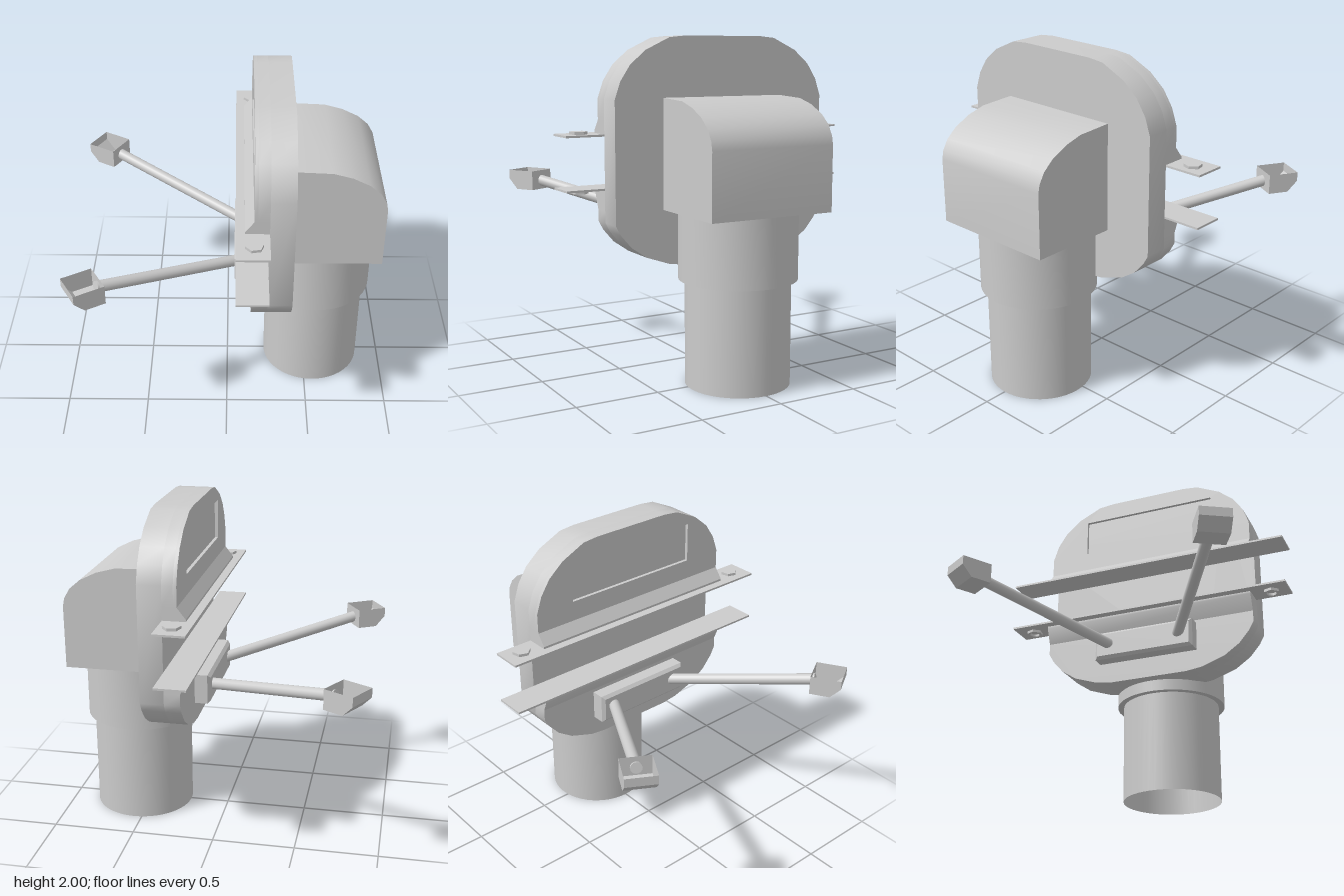
import * as THREE from 'three';
import { toCreasedNormals } from 'three/addons/utils/BufferGeometryUtils.js';

const material = new THREE.MeshStandardMaterial({ color: 0xcccccc });
const openMaterial = new THREE.MeshStandardMaterial({ color: 0xcccccc, side: THREE.DoubleSide });

const shapeOf = (pts) => new THREE.Shape(pts.map(([a, b]) => new THREE.Vector2(a, b)));
const extrude = (shape, depth) =>
  new THREE.ExtrudeGeometry(shape, { depth, bevelEnabled: false });

export function createModel() {
  const model = new THREE.Group();
  const add = (name, geometry, mat = material, parent = model) => {
    const mesh = new THREE.Mesh(geometry, mat);
    mesh.name = name;
    parent.add(mesh);
    return mesh;
  };

  // slab with a z-y outline, reaching from x0 to x1
  const slab = (name, shape, x0, x1) =>
    add(name, toCreasedNormals(extrude(shape, x1 - x0).rotateY(Math.PI / 2).translate(x0, 0, 0), 0.6));
  // prism with an x-y outline, centred on z = 0
  const prism = (name, pts, halfWidth) =>
    add(name, toCreasedNormals(extrude(shapeOf(pts), halfWidth * 2).translate(0, 0, -halfWidth), 0.6));

  // half outlines of the rounded housing, mirrored across z
  const mirrored = (half) => shapeOf([...half, ...half.map(([z, y]) => [-z, y]).reverse()]);
  const crown = [[0.69, 1.65], [0.655, 1.75], [0.595, 1.84], [0.5, 1.92], [0.35, 1.99], [0.25, 2]];
  const base = [[0.25, 0.69], [0.35, 0.703], [0.5, 0.755], [0.595, 0.82], [0.66, 0.895], [0.69, 0.95]];

  // housing: full rear layer, upper and lower front layers, channel left between
  slab('housing', mirrored([...base, ...crown]), 0.235, 0.375);
  slab('lowerHousing', mirrored([...base, [0.69, 1.02]]), 0.14, 0.235);
  const upper = [[0.69, 1.53], ...crown];
  slab('upperHousing', mirrored(upper), 0.17, 0.235);
  const windowed = mirrored(upper);
  windowed.holes.push(shapeOf([[-0.44, 1.65], [-0.44, 1.89], [0.44, 1.89], [0.44, 1.65]]));
  slab('windowFrame', windowed, 0.15, 0.17);

  // sloped lips beside the channel
  prism('upperLip', [[0.1, 1.45], [0.235, 1.45], [0.235, 1.53], [0.15, 1.53], [0.1, 1.465]], 0.69);
  prism('lowerLip', [[0.14, 1.02], [0.235, 1.02], [0.235, 1.135], [0.1, 1.135], [0.1, 1.12]], 0.69);

  // mounting strips with bolts above and nuts below
  const hexagon = () => shapeOf(Array.from({ length: 6 }, (_, i) =>
    [0.052 * Math.cos(i * Math.PI / 3 + 0.2), 0.052 * Math.sin(i * Math.PI / 3 + 0.2)]));
  const nutShape = hexagon();
  nutShape.holes.push(new THREE.Path().absarc(0, 0, 0.03, 0, Math.PI * 2, true));
  for (const y of [1.14, 1.446]) {
    add('mountingStrip', new THREE.BoxGeometry(0.185, 0.012, 1.84)).position.set(0.1425, y, 0);
  }
  for (const side of [-1, 1]) {
    add('bolt', extrude(hexagon(), 0.016).rotateX(-Math.PI / 2)).position.set(0.15, 1.452, side * 0.81);
    add('nut', extrude(nutShape, 0.018).rotateX(-Math.PI / 2)).position.set(0.15, 1.117, side * 0.81);
  }

  // elbow duct
  prism('elbow', [[0.375, 1.02], [0.91, 1.02], [0.91, 1.4], [0.9, 1.45], [0.865, 1.51], [0.8, 1.566],
    [0.7, 1.615], [0.59, 1.645], [0.375, 1.655]], 0.39);

  // collar and hollow pipe, open at the bottom
  const collar = [[0.307, 0.62], [0.345, 0.62], [0.345, 1.02]].map(([r, y]) => new THREE.Vector2(r, y));
  add('collar', toCreasedNormals(new THREE.LatheGeometry(collar, 48), 0.6), openMaterial).position.x = 0.55;
  add('pipe', new THREE.CylinderGeometry(0.307, 0.307, 0.62, 48, 1, true), openMaterial)
    .position.set(0.55, 0.31, 0);

  // arm bracket with chamfered edges
  const bevel = 0.018;
  const bracket = new THREE.ExtrudeGeometry(
    shapeOf([[-0.305, 0.838], [0.305, 0.838], [0.305, 0.982], [-0.305, 0.982]]),
    { depth: 0.08, bevelEnabled: true, bevelSegments: 1, bevelSize: bevel, bevelThickness: bevel });
  add('armBracket', bracket.rotateY(Math.PI / 2).translate(0.063, 0, 0));

  // open-topped cup: profile runs outward, last side face (the top) is dropped
  const cupGeometry = () => {
    const solid = extrude(shapeOf([[0, 0.12], [0, 0], [0.125, 0], [0.187, 0.065], [0.187, 0.12]]), 0.184);
    const open = new THREE.BufferGeometry();
    const points = solid.attributes.position.array;
    open.setAttribute('position', new THREE.BufferAttribute(points.slice(0, points.length - 18), 3));
    open.computeVertexNormals();
    return open.translate(0, 0, -0.092);
  };

  // pair of arms, each ending in a cup
  for (const side of [-1, 1]) {
    const arm = new THREE.Group();
    arm.name = side > 0 ? 'leftArm' : 'rightArm';
    model.add(arm);
    const from = new THREE.Vector3(0.07, 0.915, side * 0.223);
    const to = new THREE.Vector3(-0.73, 1.092, side * 0.706);
    const dir = to.clone().sub(from);
    const rod = add('rod', new THREE.CylinderGeometry(0.034, 0.034, dir.length(), 20), material, arm);
    rod.position.copy(from).lerp(to, 0.5);
    rod.quaternion.setFromUnitVectors(new THREE.Vector3(0, 1, 0), dir.normalize());
    const cup = add('cup', cupGeometry(), openMaterial, arm);
    cup.position.set(-0.715, 1.035, side * 0.7);
    cup.rotation.y = Math.PI + side * Math.PI / 6;
  }
  return model;
}
